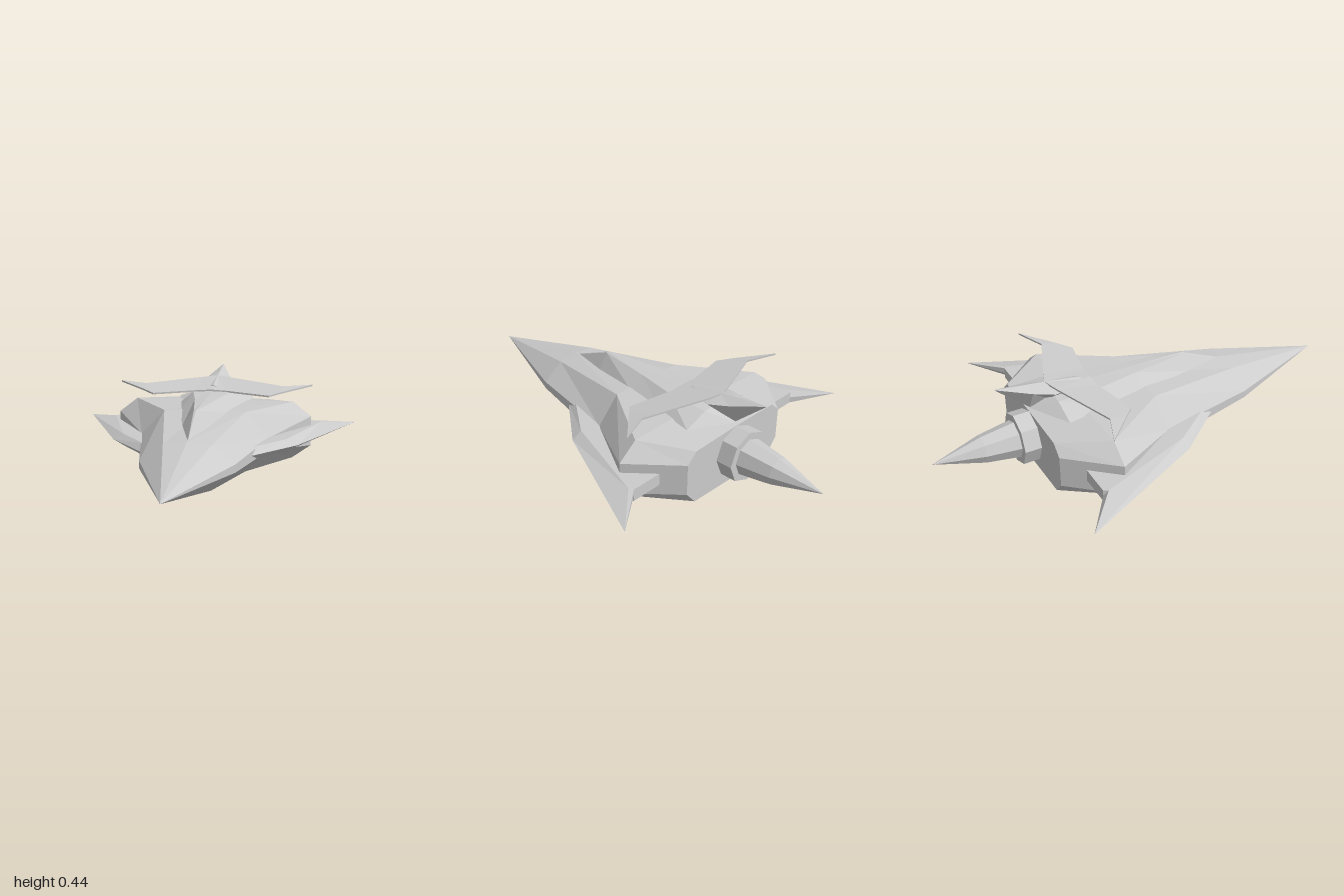
import * as THREE from 'three';

const grey = new THREE.MeshStandardMaterial({ color: 0xcccccc, flatShading: true, side: THREE.DoubleSide });

// Skin between rings of equal point count, capped at both ends.
// Rings run counterclockwise as seen from the first ring's side.
function loft(name, rings) {
  const n = rings[0].length, pos = [];
  const tri = (...pts) => pts.forEach(p => pos.push(...p));
  const centre = r => [0, 1, 2].map(k => r.reduce((s, p) => s + p[k], 0) / n);
  for (let i = 0; i < rings.length - 1; i++) {
    for (let j = 0; j < n; j++) {
      const k = (j + 1) % n;
      const a = rings[i][j], b = rings[i][k], c = rings[i + 1][j], d = rings[i + 1][k];
      tri(a, c, b);
      tri(b, c, d);
    }
  }
  const first = rings[0], last = rings[rings.length - 1];
  const c0 = centre(first), c1 = centre(last);
  for (let j = 0; j < n; j++) {
    const k = (j + 1) % n;
    tri(c0, first[j], first[k]);
    tri(c1, last[k], last[j]);
  }
  const g = new THREE.BufferGeometry();
  g.setAttribute('position', new THREE.Float32BufferAttribute(pos, 3));
  g.computeVertexNormals();
  const mesh = new THREE.Mesh(g, grey);
  mesh.name = name;
  return mesh;
}

// Symmetric section at depth z: half outline [x, y] from top centre to bottom centre
function section(z, half) {
  const left = half.map(([x, y]) => [-x, y, z]);
  const right = half.slice(1, -1).reverse().map(([x, y]) => [x, y, z]);
  return [...left, ...right];
}

const mirrorRing = r => r.map(([x, y, z]) => [-x, y, z]).reverse();

function createModel() {
  const group = new THREE.Group();
  group.name = 'spacecraft';

  // Faceted hull: nose tip, shoulder, waist, widest point, stern
  const tip = (y, n) => Array.from({ length: n }, () => [0, y]);
  group.add(loft('hull', [
    section(0.99, tip(0.165, 6)),
    section(0.45, [[0, 0.265], [0.1, 0.253], [0.2, 0.18], [0.2, 0.145], [0.1, 0.065], [0, 0.05]]),
    section(-0.03, [[0, 0.31], [0.19, 0.305], [0.3, 0.19], [0.3, 0.13], [0.19, 0.025], [0, 0.005]]),
    section(-0.34, [[0, 0.31], [0.39, 0.305], [0.48, 0.235], [0.48, 0.09], [0.39, 0.025], [0, 0.005]]),
    section(-0.545, [[0, 0.285], [0.25, 0.28], [0.3, 0.235], [0.3, 0.09], [0.25, 0.03], [0, 0.02]]),
  ]));

  // Raised spine along the back
  const spine = (z, top, topW, base, baseW) =>
    section(z, [[0, top], [topW, top - 0.003], [baseW, base], [0, base - 0.03]]);
  group.add(loft('spine', [
    section(0.43, tip(0.265, 4)),
    spine(0.22, 0.355, 0.01, 0.285, 0.06),
    spine(-0.05, 0.358, 0.05, 0.3, 0.12),
    spine(-0.25, 0.362, 0.09, 0.303, 0.155),
    spine(-0.44, 0.35, 0.08, 0.305, 0.19),
    section(-0.54, tip(0.3, 4)),
  ]));

  // Swept tail fin
  group.add(loft('tailFin', [
    section(-0.3, [[0, 0.385], [0.04, 0.37], [0, 0.33]]),
    section(-0.45, [[0, 0.408], [0.08, 0.385], [0, 0.32]]),
    section(-0.54, [[0, 0.42], [0.05, 0.4], [0, 0.305]]),
    section(-0.69, tip(0.44, 3)),
  ]));

  // Main wings: sharp rim between flat upper and lower plates
  const rim = [[0.24, 0.24], [0.43, 0], [0.7, -0.59], [0.52, -0.46], [0.2, -0.46]];
  const plate = [[0.24, 0.19], [0.38, 0], [0.53, -0.44], [0.52, -0.46], [0.2, -0.46]];
  const at = (outline, y) => outline.map(([x, z]) => [x, y, z]);
  const wing = [at(plate, 0.192), at(rim, 0.165), at(plate, 0.137)];
  group.add(loft('leftWing', wing));
  group.add(loft('rightWing', wing.map(mirrorRing)));

  // Thin upper wing, stations: x, front z, front y, rear z, rear y
  const half = [
    [0.48, -0.385, 0.385, -0.385, 0.385],
    [0.34, -0.255, 0.366, -0.33, 0.382],
    [0.28, -0.2, 0.355, -0.355, 0.387],
    [0.07, -0.25, 0.366, -0.44, 0.404],
    [0, -0.25, 0.37, -0.465, 0.41],
  ];
  const stations = [...half, ...half.slice(0, -1).reverse().map(([x, ...r]) => [-x, ...r])];
  group.add(loft('upperWing', stations.map(([x, fz, fy, rz, ry]) => [
    [x, fy, fz], [x, fy - 0.008, fz], [x, ry - 0.008, rz], [x, ry, rz],
  ])));

  // Octagonal engine collar and spike: radius at rear, radius at front, z range
  const barrel = (name, rRear, rFront, zFront, zRear) => {
    const g = new THREE.CylinderGeometry(rRear, rFront, zFront - zRear, 8);
    g.rotateX(-Math.PI / 2);
    const mesh = new THREE.Mesh(g, grey);
    mesh.name = name;
    mesh.position.set(0, 0.167, (zFront + zRear) / 2);
    group.add(mesh);
  };
  barrel('engineCollar', 0.118, 0.118, -0.5, -0.62);
  barrel('spikeBase', 0.062, 0.086, -0.61, -0.77);
  barrel('spikeTip', 0, 0.062, -0.77, -0.99);

  return group;
}

export { createModel };
